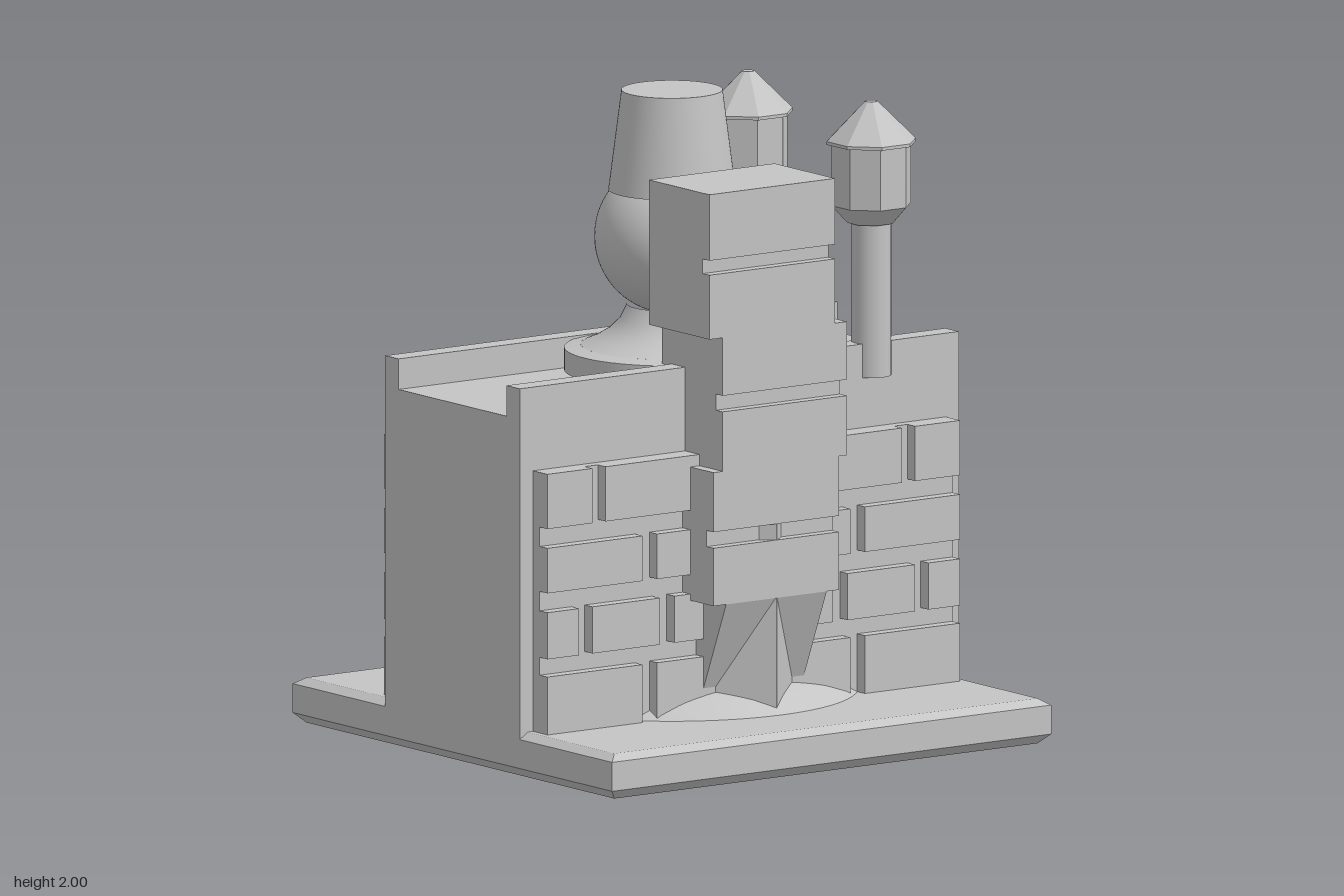
import * as THREE from 'three';

export function createModel() {
  const model = new THREE.Group();
  const stone = new THREE.MeshStandardMaterial({ color: 0xc4c4c4 });
  stone.name = 'grey stone';

  function add(name, geo, x = 0, y = 0, z = 0, parent = model) {
    const mesh = new THREE.Mesh(geo, stone);
    mesh.name = name;
    mesh.position.set(x, y, z);
    parent.add(mesh);
    return mesh;
  }
  // Box given by its limits
  function block(name, x0, x1, y0, y1, z0, z1, parent = model) {
    return add(name, new THREE.BoxGeometry(x1 - x0, y1 - y0, z1 - z0),
      (x0 + x1) / 2, (y0 + y1) / 2, (z0 + z1) / 2, parent);
  }
  // Faceted turned part with n sides, flats facing the axes
  function turned(name, n, points, parent, x = 0, z = 0) {
    for (let i = 0; i + 1 < points.length; i++) {
      const [r0, y0] = points[i], [r1, y1] = points[i + 1];
      let geo = new THREE.CylinderGeometry(r1, r0, Math.max(y1 - y0, 0.0001), n, 1, true, Math.PI / n);
      if (n < 12) {
        geo = geo.toNonIndexed();
        geo.computeVertexNormals();
      }
      add(name, geo, x, (y0 + y1) / 2, z, parent);
    }
  }
  function disc(name, r, n, x, y, z, up, parent) {
    const m = add(name, new THREE.CircleGeometry(r, n, Math.PI / n), x, y, z, parent);
    m.rotation.x = up ? -Math.PI / 2 : Math.PI / 2;
  }
  // Upright triangular prism or wedge from an outline, centred on its depth
  function extrude(points, depth) {
    const shape = new THREE.Shape(points.map(([a, b]) => new THREE.Vector2(a, b)));
    return new THREE.ExtrudeGeometry(shape, { depth, bevelEnabled: false });
  }

  // Square plinth with chamfered edges
  const k = Math.SQRT2;
  const plinth = new THREE.Group();
  plinth.name = 'plinth';
  model.add(plinth);
  turned('plinthLayer', 4, [[0.8 * k, 0], [0.83 * k, 0.03], [0.83 * k, 0.12], [0.8 * k, 0.14]], plinth);
  disc('plinthTop', 0.8 * k, 4, 0, 0.14, 0, true, plinth);
  disc('plinthBottom', 0.8 * k, 4, 0, 0, 0, false, plinth);

  // Main hall with two parapets
  block('hall', -0.83, 0.83, 0.12, 1.115, -0.35, 0.35);
  for (const s of [-1, 1]) {
    const z = s * 0.315;
    block('parapet', -0.83, 0.83, 1.115, 1.21, z - 0.035, z + 0.035);
  }

  // Brick facing, with a pointed buttress, on front and back
  const rows = [
    [0.14, 0.32, [[0.14, 0.365], [0.42, 0.78]]],
    [0.375, 0.52, [[0.14, 0.30], [0.355, 0.61], [0.66, 0.78]]],
    [0.58, 0.72, [[0.14, 0.365], [0.42, 0.78]]],
    [0.78, 0.95, [[0.14, 0.56], [0.61, 0.78]]],
  ];
  for (const side of ['front', 'back']) {
    const wall = new THREE.Group();
    wall.name = side + 'BrickWall';
    if (side === 'back') wall.rotation.y = Math.PI;
    model.add(wall);
    block('mortar', -0.78, 0.78, 0.14, 0.95, 0.34, 0.385, wall);
    for (const [y0, y1, spans] of rows)
      for (const [a, b] of spans) {
        block('brick', a, b, y0, y1, 0.37, 0.425, wall);
        block('brick', -b, -a, y0, y1, 0.37, 0.425, wall);
      }
    const prism = extrude([[-0.15, -0.42], [-0.15, -0.36], [0.15, -0.36], [0.15, -0.42], [0, -0.545]].reverse(), 0.81);
    prism.rotateX(-Math.PI / 2);
    add('buttress', prism, 0, 0.14, 0, wall);
  }

  // Low round mound under the hall
  const mound = [[0.57, 0.14], [0.55, 0.155], [0.5, 0.183], [0.45, 0.204], [0.38, 0.22], [0, 0.24]];
  add('mound', new THREE.LatheGeometry(mound.map(([r, y]) => new THREE.Vector2(r, y)), 64));

  // Staggered block stack on the front, each block with a groove
  const stack = new THREE.Group();
  stack.name = 'frontStack';
  model.add(stack);
  const blocks = [
    [-0.24, 0.235, 0.5, 0.915, 0.68, 0.73],
    [-0.205, 0.265, 0.915, 1.33, 1.1, 1.15],
    [-0.255, 0.22, 1.33, 1.78, 1.53, 1.575],
  ];
  for (const [x0, x1, y0, y1, g0, g1] of blocks) {
    block('stackBlock', x0, x1, y0, g0, 0.23, 0.545, stack);
    block('stackGroove', x0, x1, g0, g1, 0.23, 0.51, stack);
    block('stackBlock', x0, x1, g1, y1, 0.23, 0.545, stack);
  }
  const wedge = extrude([[-0.36, 0.21], [-0.42, 0.21], [-0.545, 0.505], [-0.36, 0.505]].reverse(), 0.38);
  wedge.rotateY(Math.PI / 2);
  add('stackCorbel', wedge, -0.19, 0, 0, stack);

  // Central round finial: foot, ball and tapered cap
  const finial = new THREE.Group();
  finial.name = 'finial';
  model.add(finial);
  turned('finialFoot', 64, [[0.3, 1.115], [0.33, 1.13], [0.33, 1.2], [0.28, 1.21]], finial);
  const neck = [[0.28, 1.21], [0.235, 1.23], [0.195, 1.255], [0.16, 1.29], [0.138, 1.335]];
  add('finialNeck', new THREE.LatheGeometry(neck.map(([r, y]) => new THREE.Vector2(r, y)), 64), 0, 0, 0, finial);
  add('finialBall', new THREE.SphereGeometry(0.238, 64, 40), 0, 1.545, 0, finial);
  add('finialCap', new THREE.CylinderGeometry(0.155, 0.195, 0.31, 64), 0, 1.845, 0, finial);

  // Two slim turrets along the left end
  for (const z of [-0.32, 0.32]) {
    const turret = new THREE.Group();
    turret.name = 'turret';
    turret.position.set(0.52, 0, z);
    model.add(turret);
    add('turretPost', new THREE.CylinderGeometry(0.062, 0.062, 0.485, 24), 0, 1.3475, 0, turret);
    turned('turretHead', 8, [[0.075, 1.58], [0.125, 1.635], [0.125, 1.825]], turret);
    disc('turretHeadBottom', 0.075, 8, 0, 1.58, 0, false, turret);
    turned('turretRoof', 8, [[0.14, 1.825], [0.14, 1.835], [0.02, 1.955]], turret);
    disc('turretEave', 0.14, 8, 0, 1.825, 0, false, turret);
    disc('turretTip', 0.02, 8, 0, 1.955, 0, true, turret);
  }
  return model;
}
